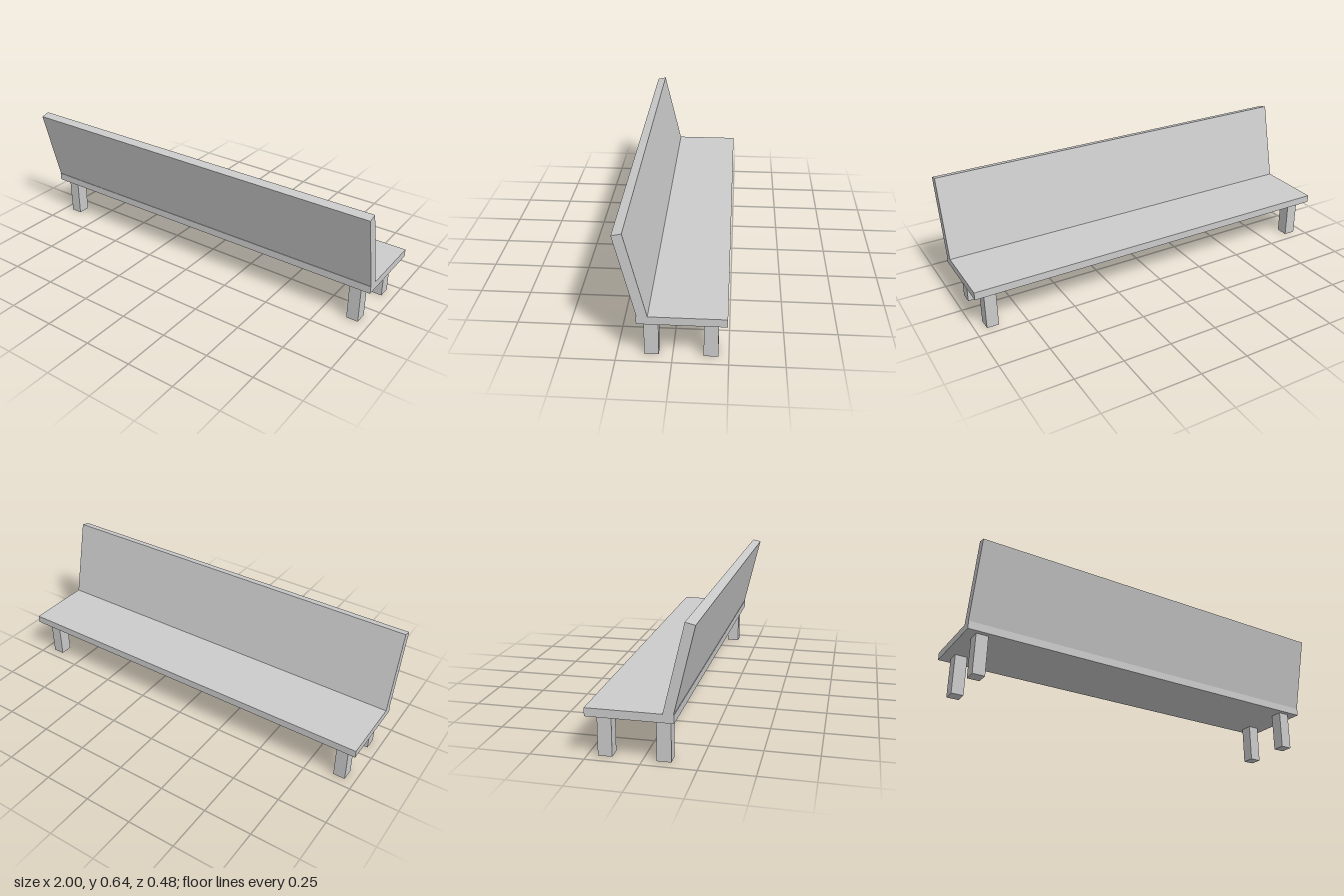
import * as THREE from 'three';

export function createModel() {
  const bench = new THREE.Group();
  bench.name = 'bench';
  const material = new THREE.MeshStandardMaterial({ color: 0xcccccc, flatShading: true });

  function addBox(name, size, position) {
    const mesh = new THREE.Mesh(new THREE.BoxGeometry(...size), material);
    mesh.name = name;
    mesh.position.set(...position);
    bench.add(mesh);
    return mesh;
  }

  // Seat plank
  addBox('seat', [2, 0.039, 0.394], [0, 0.2205, -0.045]);

  // Backrest leaning outwards, its lower edge sunk into the seat
  const backrest = addBox('backrest', [2, 0.441, 0.046], [0, 0.422, 0.169]);
  backrest.rotation.x = THREE.MathUtils.degToRad(13.4);

  // Four square legs
  for (const [side, x] of [['left', 0.914], ['right', -0.92]]) {
    addBox(side + 'BackrestLeg', [0.061, 0.201, 0.065], [x, 0.1005, 0.0945]);
    addBox(side + 'OpenSideLeg', [0.061, 0.201, 0.065], [x, 0.1005, -0.1705]);
  }

  return bench;
}
